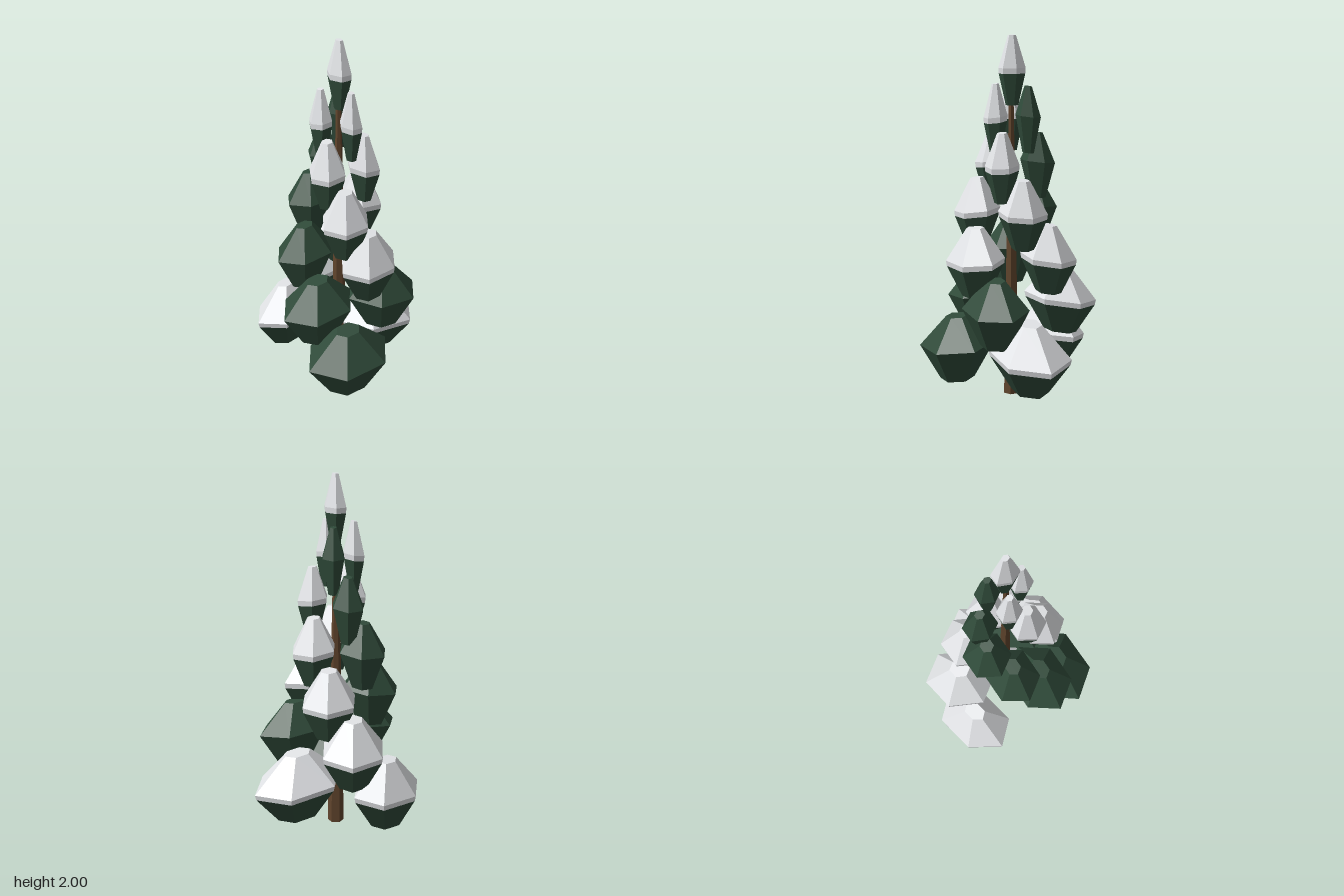
import * as THREE from 'three';

const foliageGreen = new THREE.MeshStandardMaterial({ color: 0x304b3a });
const snowWhite = new THREE.MeshStandardMaterial({ color: 0xe4e6e9 });
const barkBrown = new THREE.MeshStandardMaterial({ color: 0x60442c });

const TRUNK_X = -0.04, TRUNK_Z = 0.015;

// Six-sided profiles: [fraction of radius, height from the widest ring]
const greenProfile = [[0, -0.2], [0.46, -0.2], [1, 0], [0.29, 0.16], [0, 0.16]];
const underSnowProfile = [[0, -0.2], [0.46, -0.2], [0.97, -0.03]];
const snowProfile = [[0.97, -0.03], [1, 0], [0.29, 0.175], [0, 0.175]];

// Clumps per tier, bottom to top: [x, z, radiusX, radiusZ, snowy, skew]
const tiers = [
  [[-0.175, 0.29, 0.257, 0.202, 0, 0], [0.2, 0.015, 0.266, 0.218, 1, 0], [-0.19, -0.3, 0.225, 0.17, 1, -0.18]],
  [[-0.25, 0.112, 0.22, 0.18, 0, 0], [0.13, 0.187, 0.222, 0.175, 0, 0], [0.004, -0.268, 0.198, 0.188, 1, -0.14]],
  [[-0.008, 0.245, 0.185, 0.145, 1, -0.11], [-0.218, -0.058, 0.173, 0.15, 0, 0], [0.09, -0.15, 0.16, 0.155, 1, 0]],
  [[-0.118, 0.186, 0.14, 0.125, 1, 0], [0.1, 0.01, 0.127, 0.137, 1, 0], [-0.113, -0.155, 0.14, 0.13, 0, 0]],
  [[-0.152, 0.07, 0.103, 0.105, 1, 0], [0.055, 0.112, 0.09, 0.095, 1, 0], [-0.03, -0.14, 0.09, 0.098, 0, 0]],
  [[-0.03, 0.113, 0.06, 0.066, 1, 0], [-0.127, -0.024, 0.062, 0.07, 1, 0], [0.016, -0.06, 0.065, 0.07, 0, 0]],
  [[-0.034, 0.013, 0.06, 0.078, 1, 0]],
];

// Faceted hexagonal shell, squashed, skewed and drooping away from the trunk
function shell(name, profile, material, [x, z, rx, rz, , skew]) {
  const points = profile.map(([r, y]) => new THREE.Vector2(r, y));
  const geometry = new THREE.LatheGeometry(points, 6, Math.PI / 2).toNonIndexed();
  const out = new THREE.Vector2(x - TRUNK_X, z - TRUNK_Z);
  const droop = out.length() > 0.03 ? 0.12 : 0;
  out.normalize();
  const p = geometry.attributes.position;
  for (let i = 0; i < p.count; i++) {
    const px = p.getX(i) * rx;
    const pz = p.getZ(i) * rz + px * skew;
    p.setXYZ(i, px, p.getY(i) - droop * (px * out.x + pz * out.y), pz);
  }
  geometry.computeVertexNormals();
  const mesh = new THREE.Mesh(geometry, material);
  mesh.name = name;
  return mesh;
}

function clump(data, y) {
  const group = new THREE.Group();
  group.name = data[4] ? 'snowyBranchClump' : 'branchClump';
  group.add(shell('foliage', data[4] ? underSnowProfile : greenProfile, foliageGreen, data));
  if (data[4]) group.add(shell('snowCap', snowProfile, snowWhite, data));
  group.position.set(data[0], y, data[1]);
  return group;
}

export function createModel() {
  const tree = new THREE.Group();
  tree.name = 'snowyFirTree';

  // Tapered six-sided trunk
  const bark = new THREE.CylinderGeometry(0.012, 0.046, 1.78, 6).toNonIndexed();
  bark.computeVertexNormals();
  const trunk = new THREE.Mesh(bark, barkBrown);
  trunk.name = 'trunk';
  trunk.position.set(TRUNK_X, 0.89, TRUNK_Z);
  tree.add(trunk);

  // Branch clumps, three to a tier with a single one at the tip
  tiers.forEach((tier, k) => {
    const group = new THREE.Group();
    group.name = k < tiers.length - 1 ? 'branchTier' : 'treeTip';
    tier.forEach((data) => group.add(clump(data, 0.287 + k * 0.2565)));
    tree.add(group);
  });
  return tree;
}
